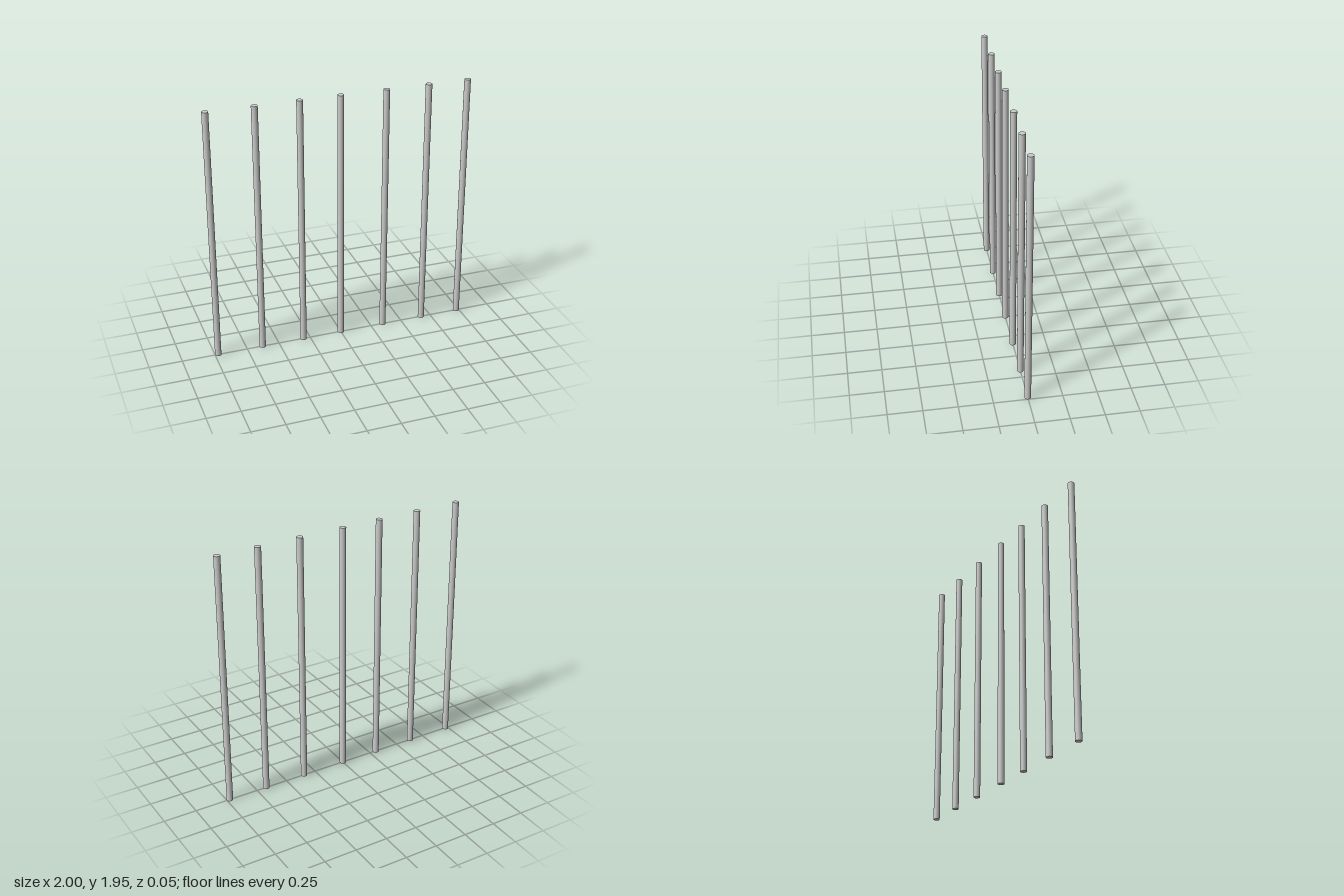
import * as THREE from 'three';

export function createModel() {
  const group = new THREE.Group();
  group.name = 'barRow';
  const radius = 0.024, height = 1.95;
  const material = new THREE.MeshStandardMaterial({ color: 0xcccccc });

  // One round upright bar, standing on the ground
  const geometry = new THREE.CylinderGeometry(radius, radius, height, 24);
  geometry.translate(0, height / 2, 0);

  // Spacing narrows slightly within each group of three bars
  const positions = [-0.976, -0.629, -0.303, 0, 0.346, 0.672, 0.976];
  positions.forEach((x, i) => {
    const bar = new THREE.Mesh(geometry, material);
    bar.name = `verticalBar${i + 1}`;
    bar.position.x = x;
    group.add(bar);
  });
  return group;
}
